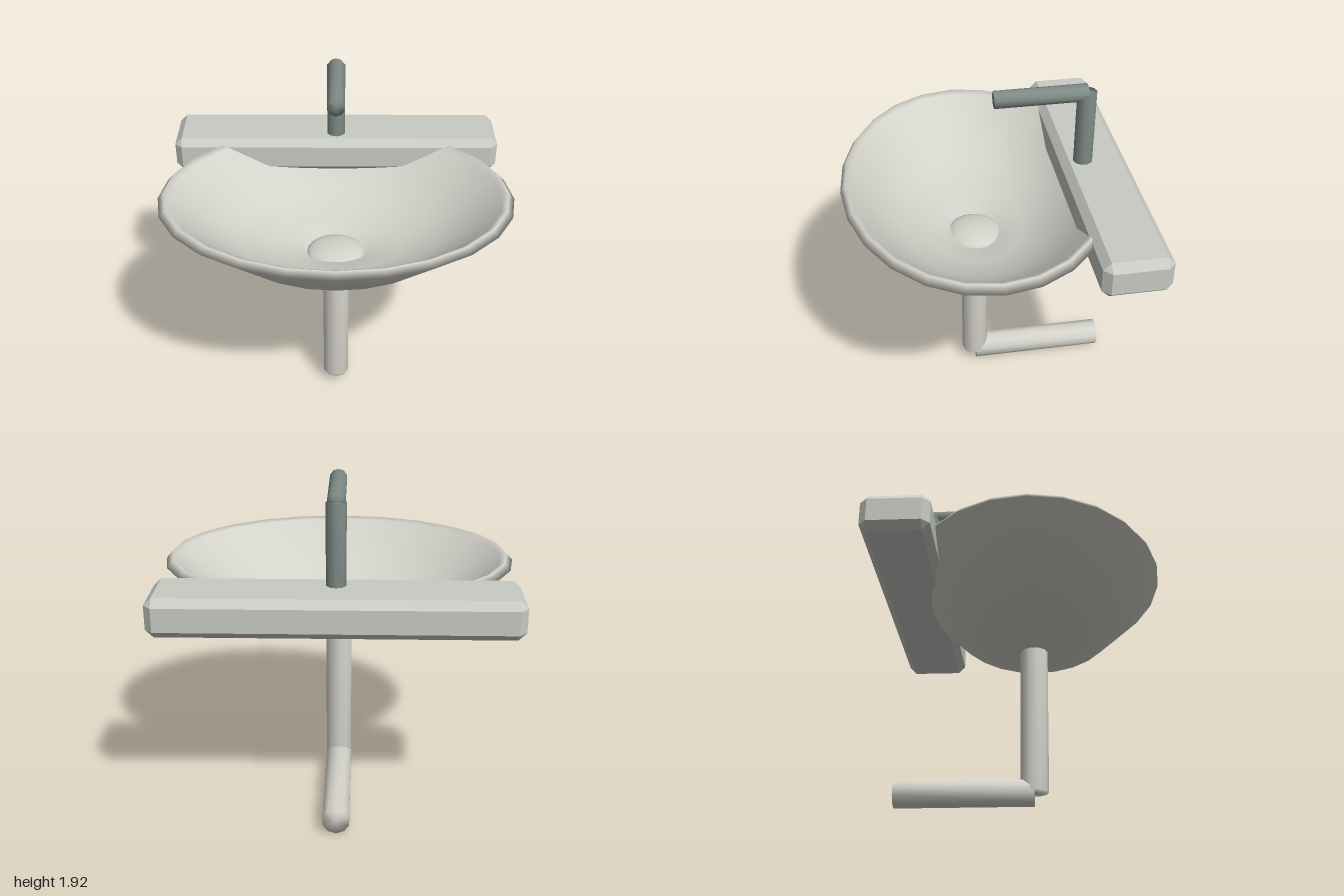
import * as THREE from 'three';
import { mergeVertices } from 'three/addons/utils/BufferGeometryUtils.js';
import { ConvexGeometry } from 'three/addons/geometries/ConvexGeometry.js';

const ceramic = new THREE.MeshStandardMaterial({ name: 'ceramic', color: 0xd3d2ca });
const stone = new THREE.MeshStandardMaterial({ name: 'shelf stone', color: 0xc8cbc4 });
const metal = new THREE.MeshStandardMaterial({ name: 'tap metal', color: 0x7f8b87 });

// Weld all corners so that shading runs smoothly over the whole part
function smooth(geometry) {
  geometry.deleteAttribute('normal');
  geometry.deleteAttribute('uv');
  const welded = mergeVertices(geometry, 1e-4);
  welded.computeVertexNormals();
  return welded;
}

function part(name, geometry, material, x = 0, y = 0, z = 0) {
  const mesh = new THREE.Mesh(geometry, material);
  mesh.name = name;
  mesh.position.set(x, y, z);
  return mesh;
}

// Ten-sided tube, upright or lying along z
function tube(name, radius, length, material, y, z, lying = false) {
  const geometry = new THREE.CylinderGeometry(radius, radius, length, 10);
  if (lying) geometry.rotateX(Math.PI / 2);
  return part(name, smooth(geometry), material, 0, y, z);
}

// Box with every edge cut at 45 degrees
function chamferedBox(w, h, d, c) {
  const points = [];
  for (const sx of [-1, 1]) for (const sy of [-1, 1]) for (const sz of [-1, 1]) {
    const [x, y, z] = [w / 2, h / 2, d / 2];
    points.push(
      new THREE.Vector3(sx * x, sy * (y - c), sz * (z - c)),
      new THREE.Vector3(sx * (x - c), sy * y, sz * (z - c)),
      new THREE.Vector3(sx * (x - c), sy * (y - c), sz * z));
  }
  return new ConvexGeometry(points);
}

// Oval bowl: up the outside, over the rim and down the inside
function bowl() {
  const profile = [
    [0, 0.98], [0.25, 0.96], [0.62, 1.07], [1, 1.36], [0.965, 1.4], [0.93, 1.385],
    [0.8, 1.27], [0.58, 1.12], [0.36, 1.055], [0.2, 1.025], [0.165, 0.99], [0, 0.99],
  ].map(([r, y]) => new THREE.Vector2(r, y));
  const geometry = new THREE.LatheGeometry(profile, 24);
  const p = geometry.attributes.position;
  for (let i = 0; i < p.count; i++) {
    // The foot ring rises a little towards front and back
    if (p.getY(i) < 0.965) p.setY(i, 0.96 + 0.022 * (p.getZ(i) / 0.25) ** 2);
    p.setZ(i, p.getZ(i) * 0.75);
  }
  return smooth(geometry);
}

export function createModel() {
  const group = new THREE.Group();
  group.name = 'washbasin';

  group.add(part('basin', bowl(), ceramic, 0, 0, 0.06));

  // Low domed plug over the drain
  const plug = new THREE.SphereGeometry(0.17, 20, 8, 0, Math.PI * 2, 0, Math.PI / 2);
  plug.scale(1, 0.35, 0.95);
  group.add(part('drainPlug', plug, ceramic, 0, 0.985, 0.06));

  group.add(part('shelf', chamferedBox(1.94, 0.215, 0.375, 0.042), stone, 0, 1.324, -0.633));

  group.add(
    tube('tapRiser', 0.056, 0.49, metal, 1.625, -0.565),
    tube('tapSpout', 0.049, 0.515, metal, 1.867, -0.308, true),
    tube('drainPipe', 0.079, 0.85, ceramic, 0.505, 0.062),
    tube('wastePipe', 0.0785, 0.78, ceramic, 0.0785, -0.33, true));

  return group;
}
